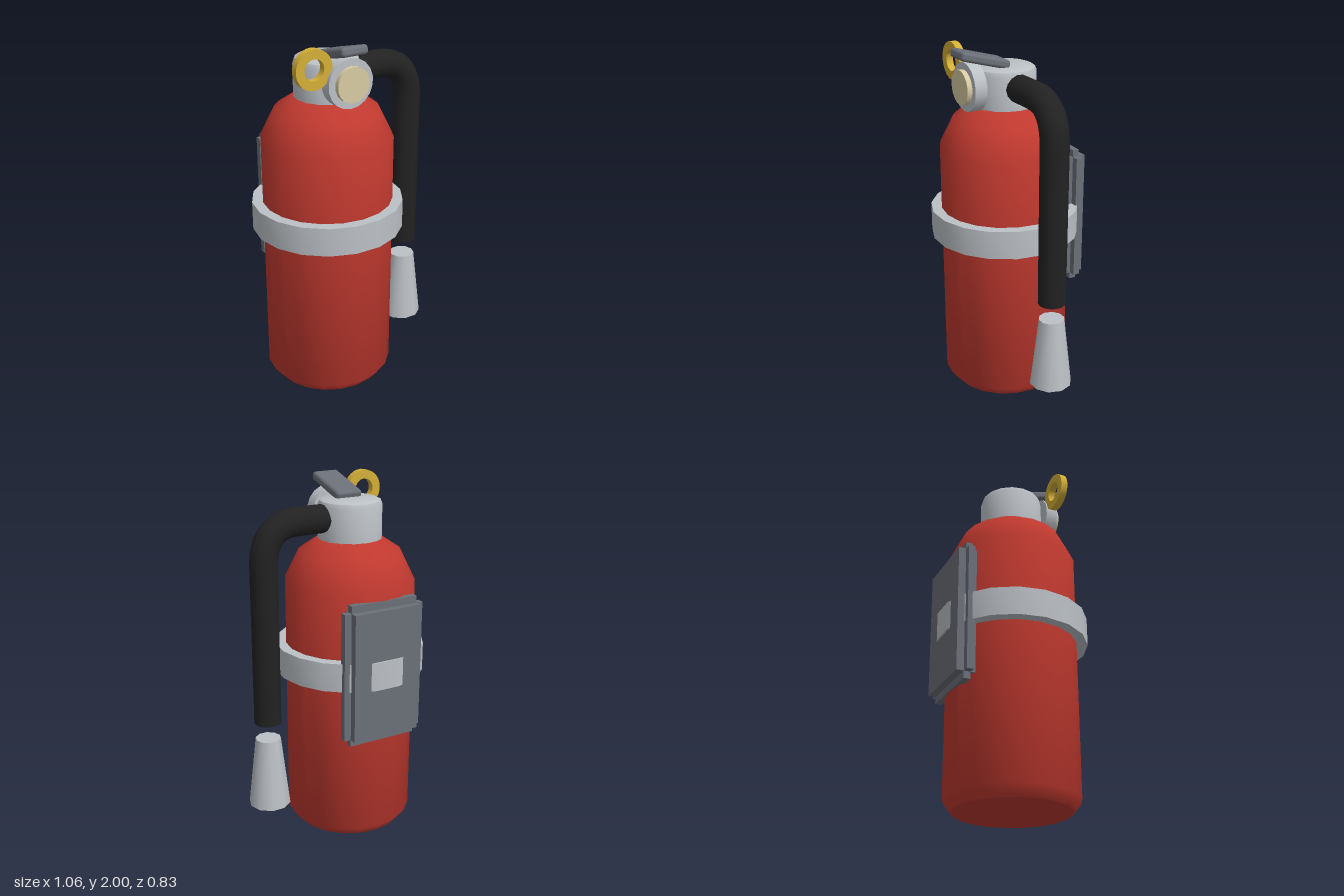
import * as THREE from 'three';
import { toCreasedNormals } from 'three/addons/utils/BufferGeometryUtils.js';
import { RoundedBoxGeometry } from 'three/addons/geometries/RoundedBoxGeometry.js';

const AXIS = -0.113; // x of the tank's axis

function material(name, color) {
  const m = new THREE.MeshStandardMaterial({ color });
  m.name = name;
  return m;
}

// Turned part from [radius, height] pairs, bottom to top, with a corner on the x axis
function turned(points, sides) {
  const profile = points.map(([r, y]) => new THREE.Vector2(r, y));
  return toCreasedNormals(new THREE.LatheGeometry(profile, sides).rotateY(Math.PI / 2), 0.75);
}

export function createModel() {
  const red = material('red paint', 0xc0392f);
  const silver = material('silver metal', 0xbcc1c6);
  const steel = material('dark steel', 0x6b6f78);
  const rubber = material('black rubber', 0x222222);
  const gold = material('gold', 0xd4af37);
  const cream = material('cream dial', 0xd8cba3);

  const model = new THREE.Group();
  model.name = 'fireExtinguisher';
  function add(name, geometry, mat, x = 0, y = 0, z = 0, parent = model) {
    const mesh = new THREE.Mesh(geometry, mat);
    mesh.name = name;
    mesh.position.set(x, y, z);
    parent.add(mesh);
    return mesh;
  }

  // Tank, strap and valve head share one axis
  add('tank', turned([[0, 0], [0.315, 0], [0.362, 0.06], [0.362, 1.45], [0.283, 1.61], [0.178, 1.68], [0, 1.68]], 20), red, AXIS);
  add('strap', turned([[0.34, 0.93], [0.421, 0.93], [0.421, 1.09], [0.34, 1.09], [0.34, 0.93]], 18), silver, AXIS);
  add('valveHead', turned([[0, 1.66], [0.178, 1.66], [0.178, 1.86], [0.168, 1.885], [0.145, 1.895], [0, 1.895]], 16), silver, AXIS);

  // Pressure gauge on the front of the valve
  const disc = (r, depth) => new THREE.CylinderGeometry(r, r, depth, 18).rotateX(Math.PI / 2);
  add('gaugeCase', disc(0.133, 0.07), silver, AXIS, 1.8, 0.207);
  add('gaugeDial', disc(0.095, 0.04), cream, AXIS, 1.8, 0.25);

  // Safety pin ring
  const ringShape = new THREE.Shape().absarc(0, 0, 0.105, 0, Math.PI * 2);
  ringShape.holes.push(new THREE.Path().absarc(0, 0, 0.056, 0, Math.PI * 2, true));
  const ring = new THREE.ExtrudeGeometry(ringShape, { depth: 0.04, bevelEnabled: false, curveSegments: 14 });
  add('pinRing', toCreasedNormals(ring, 0.75), gold, -0.313, 1.897, 0.18);

  // Lever rising toward the front
  const lever = add('lever', new RoundedBoxGeometry(0.157, 0.05, 0.295, 2, 0.018), steel, AXIS, 1.942, 0.143);
  lever.rotation.x = -0.27;

  // Hose out of the valve, bending down to an open gap above the nozzle
  const v = (x, y) => new THREE.Vector3(x, y, 0);
  const path = new THREE.CurvePath();
  path.add(new THREE.LineCurve3(v(0, 1.798), v(0.21, 1.798)));
  path.add(new THREE.QuadraticBezierCurve3(v(0.21, 1.798), v(0.411, 1.798), v(0.411, 1.58)));
  path.add(new THREE.LineCurve3(v(0.411, 1.58), v(0.411, 0.687)));
  add('hose', new THREE.TubeGeometry(path, 48, 0.077, 14), rubber);
  add('hoseEnd', new THREE.CircleGeometry(0.077, 14).rotateX(Math.PI / 2), rubber, 0.411, 0.687, 0);
  add('nozzle', new THREE.CylinderGeometry(0.072, 0.119, 0.405, 10).rotateY(Math.PI / 2), silver, 0.411, 0.387, 0);

  // Wall bracket: a thick plate with thin flanges on its four sides
  const bracket = new THREE.Group();
  bracket.name = 'wallBracket';
  bracket.position.set(AXIS, 1.01, 0);
  model.add(bracket);
  const plates = [
    ['bracketPlate', 0.404, 0.72, 0.105, -0.3525],
    ['sideFlanges', 0.484, 0.72, 0.038, -0.345],
    ['endFlanges', 0.404, 0.8, 0.038, -0.345],
  ];
  for (const [name, w, h, d, z] of plates) {
    add(name, new THREE.BoxGeometry(w, h, d), steel, 0, 0, z, bracket);
  }

  return model;
}
